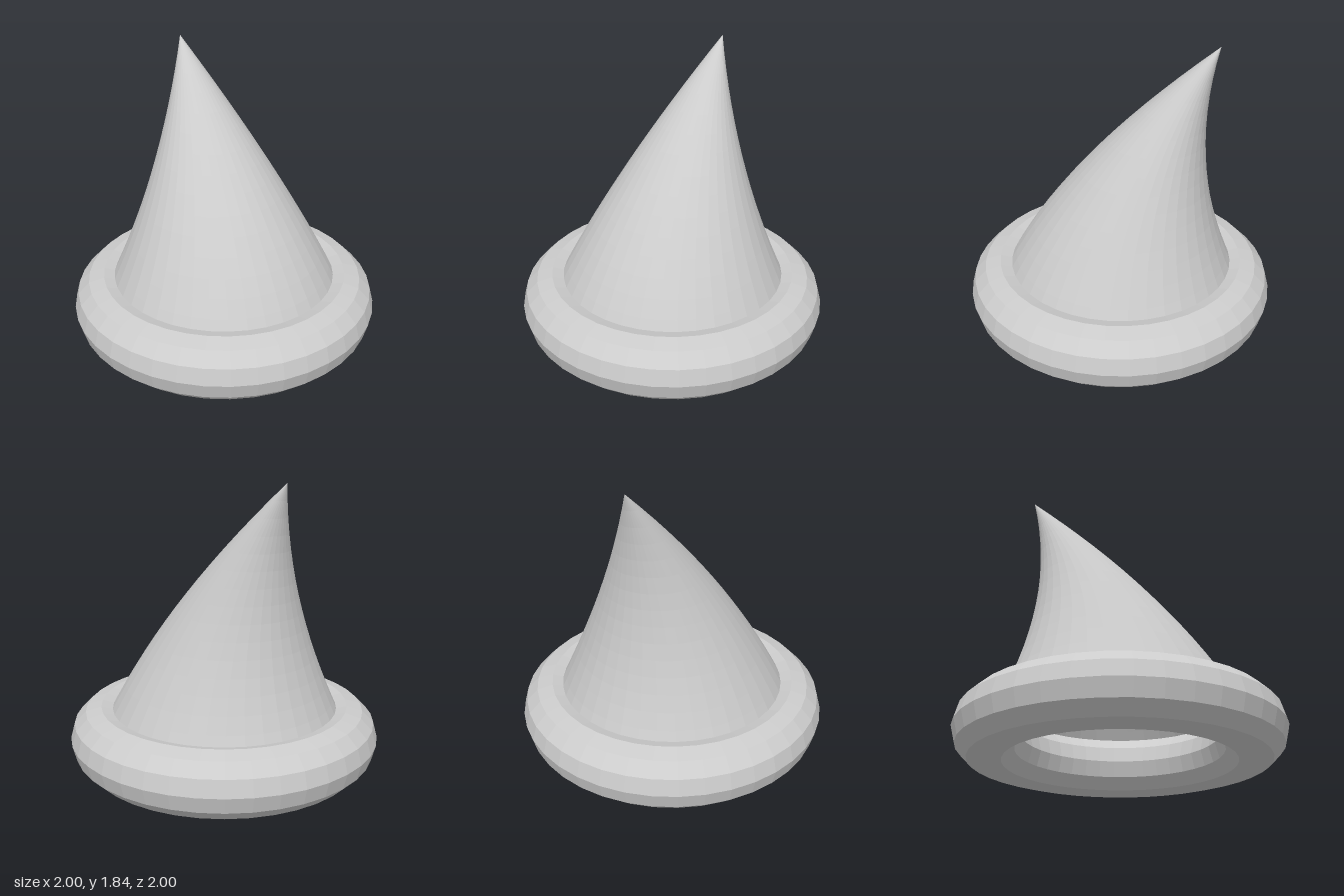
import * as THREE from 'three';

const SIDES = 40;

export function createModel() {
  const model = new THREE.Group();
  const material = new THREE.MeshStandardMaterial({
    color: 0xcccccc, flatShading: true, side: THREE.DoubleSide,
  });

  // Thick rolled brim lying on the ground
  const brimGeometry = new THREE.TorusGeometry(0.8, 0.2, 12, SIDES);
  brimGeometry.rotateX(-Math.PI / 2);
  const brim = new THREE.Mesh(brimGeometry, material);
  brim.name = 'brim';
  brim.position.y = 0.2;
  model.add(brim);

  // Hollow cone, open below, whose tip curves backwards
  const height = 1.6;
  const coneGeometry = new THREE.ConeGeometry(0.8, height, SIDES, 16, true);
  coneGeometry.translate(0, height / 2, 0);
  const position = coneGeometry.attributes.position;
  for (let i = 0; i < position.count; i++) {
    const t = position.getY(i) / height;
    position.setZ(i, position.getZ(i) - 0.59 * t * t);
  }
  coneGeometry.computeVertexNormals();
  const cone = new THREE.Mesh(coneGeometry, material);
  cone.name = 'bentCone';
  cone.position.y = 0.24;
  model.add(cone);

  return model;
}
